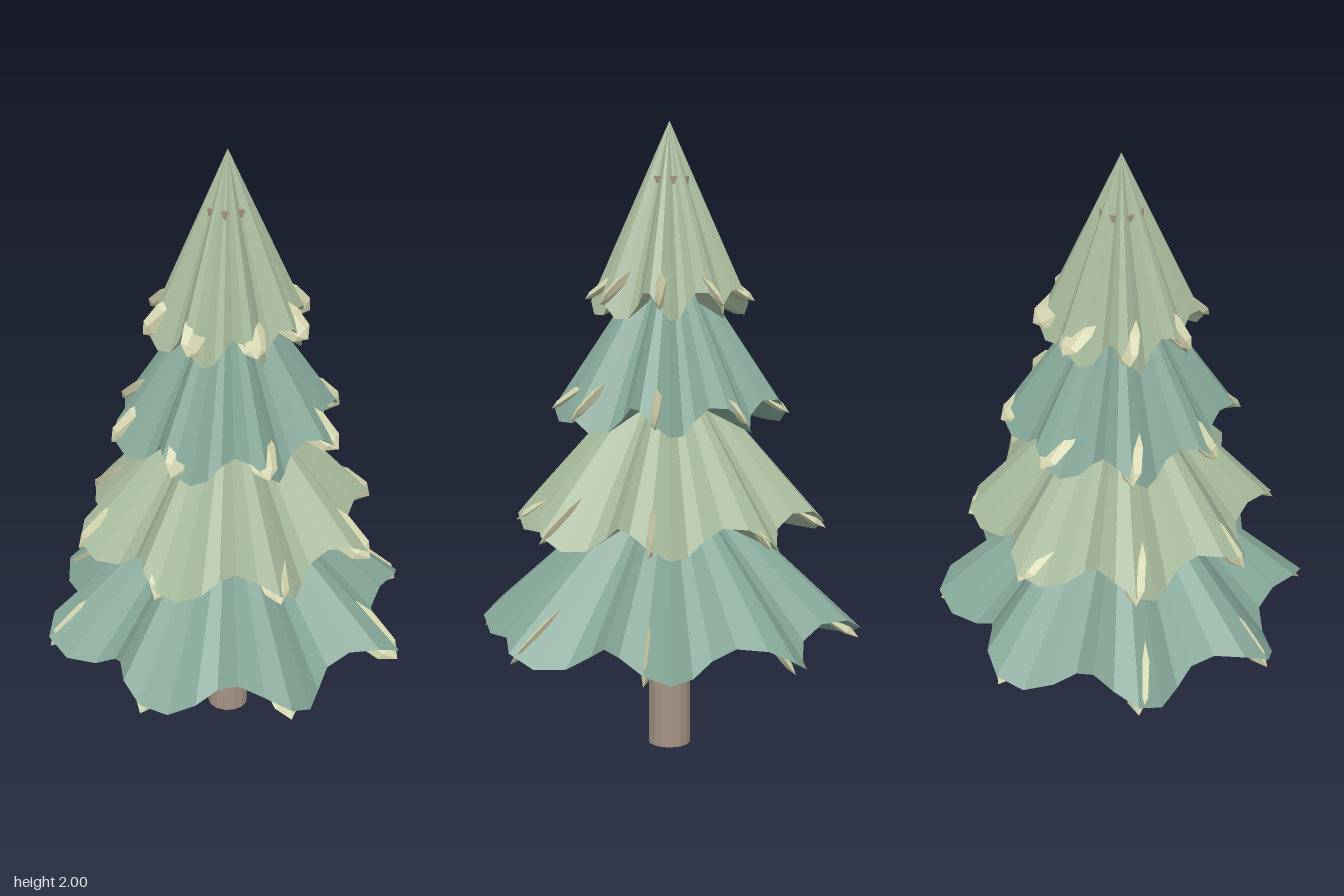
import * as THREE from 'three';

const SEGMENTS = 48;
const PLEATS = 8;
const TIER_HEIGHT = 0.56;

const material = (color) =>
  new THREE.MeshStandardMaterial({ color, flatShading: true, roughness: 0.9 });

// Pleated cone: the hem swells in and out, and ripples up and down a quarter wave later
function pleatedCone(tipRadius, hemY) {
  const positions = [0, hemY + TIER_HEIGHT, 0, 0, hemY + 0.055, 0];
  const index = [];
  const mean = tipRadius * 0.89;
  for (let i = 0; i < SEGMENTS; i++) {
    const a = (i / SEGMENTS) * Math.PI * 2;
    const r = mean + (tipRadius - mean) * Math.cos(PLEATS * a);
    const y = hemY + 0.047 * Math.sin(PLEATS * a);
    positions.push(Math.cos(a) * r, y, Math.sin(a) * r);
    const p = 2 + i;
    const q = 2 + ((i + 1) % SEGMENTS);
    index.push(p, 0, q); // upper side
    index.push(1, p, q); // underside
  }
  const geometry = new THREE.BufferGeometry();
  geometry.setAttribute('position', new THREE.Float32BufferAttribute(positions, 3));
  geometry.setIndex(index);
  const flat = geometry.toNonIndexed();
  flat.computeVertexNormals();
  return flat;
}

// Flat pointed blade lying along a pleat, rolling as it goes round the tree
function placeBlade(mesh, angle, radius, y, pitch, size) {
  const c = Math.cos(angle);
  const s = Math.sin(angle);
  const along = new THREE.Vector3(c * Math.cos(pitch), -Math.sin(pitch), s * Math.cos(pitch));
  const up = new THREE.Vector3(c * Math.sin(pitch), Math.cos(pitch), s * Math.sin(pitch));
  const side = new THREE.Vector3(s, 0, -c);
  const width = up.multiplyScalar(c).addScaledVector(side, s);
  const normal = new THREE.Vector3().crossVectors(width, along);
  mesh.quaternion.setFromRotationMatrix(new THREE.Matrix4().makeBasis(width, along, normal));
  mesh.position.set(c * radius, y, s * radius);
  mesh.scale.set(...size);
}

export function createModel() {
  const tree = new THREE.Group();
  tree.name = 'pineTree';

  const darkGreen = material(0x84a696);
  const lightGreen = material(0xa6b99b);
  const bladeMaterial = material(0xd0d1ab);
  const bark = material(0xa59284);

  // Trunk runs up through the tiers
  const trunk = new THREE.Mesh(new THREE.CylinderGeometry(0.068, 0.068, 1.83, 14), bark);
  trunk.name = 'trunk';
  trunk.position.y = 0.915;
  tree.add(trunk);

  const tiers = [
    { tip: 0.615, hem: 0.405, blade: [0.06, 0.16, 0.018] },
    { tip: 0.495, hem: 0.75, blade: [0.055, 0.14, 0.018] },
    { tip: 0.372, hem: 1.1, blade: [0.052, 0.11, 0.018] },
    { tip: 0.25, hem: 1.44, blade: [0.05, 0.09, 0.018] },
  ];
  const bladeGeometry = new THREE.SphereGeometry(1, 6, 4);

  tiers.forEach(({ tip, hem, blade }, t) => {
    const tier = new THREE.Group();
    tier.name = `tier${t + 1}`;

    const foliage = new THREE.Mesh(pleatedCone(tip, hem), t % 2 ? lightGreen : darkGreen);
    foliage.name = 'foliage';
    tier.add(foliage);

    // One blade per pleat
    for (let i = 0; i < PLEATS; i++) {
      const mesh = new THREE.Mesh(bladeGeometry, bladeMaterial);
      mesh.name = 'needleBlade';
      placeBlade(mesh, (i / PLEATS) * Math.PI * 2, tip * 0.78, hem + 0.055, 0.6, blade);
      tier.add(mesh);
    }
    tree.add(tier);
  });

  return tree;
}
